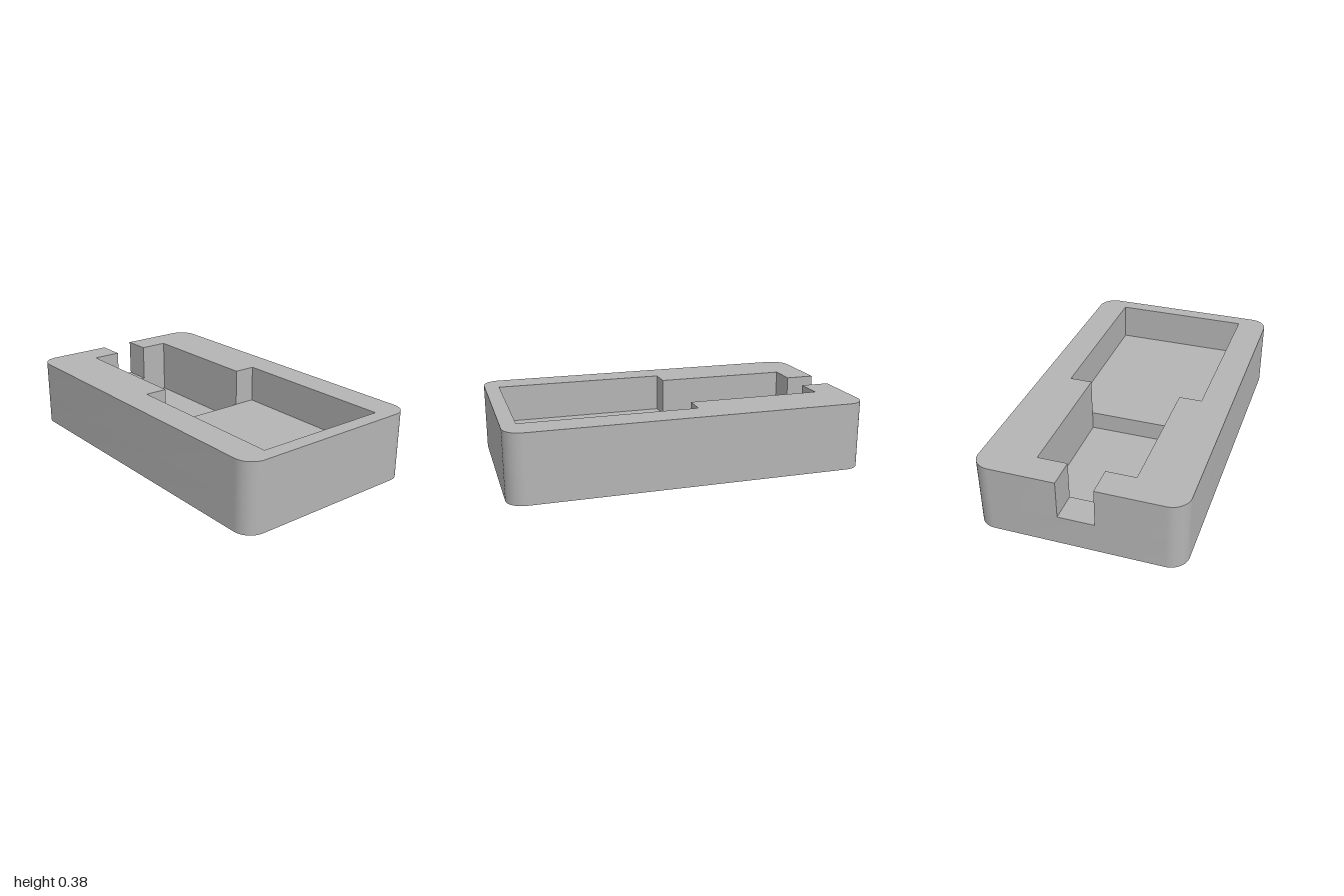
import * as THREE from 'three';
import { toCreasedNormals } from 'three/addons/utils/BufferGeometryUtils.js';

// Overall block
const HX = 1, HZ = 0.563, R = 0.1;
const TOP = 0.385, LEDGE = 0.17, DEEP = 0.065;
// Recesses: cable slot, deep bay, wide bay (x limits and half widths)
const SLOT = 0.1, MID = 0.265, WIDE = 0.393;
const X1 = -0.834, X2 = -0.067, X3 = 0.917;

// Plan outlines are [x, -z], counter-clockwise around solid material
function roundedOutline(steps = 16) {
  const corners = [[-1, -1, Math.PI], [1, -1, 1.5 * Math.PI], [1, 1, 0], [-1, 1, 0.5 * Math.PI]];
  return corners.flatMap(([sx, sy, start]) =>
    Array.from({ length: steps + 1 }, (_, i) => {
      const a = start + (i / steps) * Math.PI / 2;
      return [sx * (HX - R) + R * Math.cos(a), sy * (HZ - R) + R * Math.sin(a)];
    }));
}

const rect = (x0, x1, h) => [[x0, -h], [x1, -h], [x1, h], [x0, h]];

// Vertical wall that follows a closed outline
function wall(points, y0, y1) {
  const pos = [];
  points.forEach(([ax, ay], i) => {
    const [bx, by] = points[(i + 1) % points.length];
    pos.push(ax, y0, -ay, bx, y0, -by, bx, y1, -by);
    pos.push(ax, y0, -ay, bx, y1, -by, ax, y1, -ay);
  });
  const g = new THREE.BufferGeometry();
  g.setAttribute('position', new THREE.Float32BufferAttribute(pos, 3));
  return toCreasedNormals(g, Math.PI / 6);
}

// Horizontal face, turned up or down
function plate(points, y, up = true) {
  const shape = new THREE.Shape(points.map(([x, s]) => new THREE.Vector2(x, s)));
  return new THREE.ShapeGeometry(shape).rotateX(up ? -Math.PI / 2 : Math.PI / 2).translate(0, y, 0);
}

export function createModel() {
  const group = new THREE.Group();
  const grey = new THREE.MeshStandardMaterial({ color: 0xb4b4b4 });
  grey.name = 'plain grey';
  const add = (name, geometry) => {
    const mesh = new THREE.Mesh(geometry, grey);
    mesh.name = name;
    group.add(mesh);
  };

  const outer = roundedOutline();
  const deepBay = rect(X1, X2, MID);
  // Rim runs round the outside, then in through the slot and round both bays
  const rim = [
    [-HX, -SLOT], ...outer, [-HX, SLOT],
    [X1, SLOT], [X1, MID], [X2, MID], [X2, WIDE], [X3, WIDE],
    [X3, -WIDE], [X2, -WIDE], [X2, -MID], [X1, -MID], [X1, -SLOT],
  ];

  // Shell
  add('baseUnderside', plate(outer, 0, false));
  add('baseWall', wall(outer, 0, LEDGE));
  add('rimWall', wall(rim, LEDGE, TOP));
  add('rimTop', plate(rim, TOP));

  // Recess floors and the lower walls of the deep bay
  add('slotFloor', plate(rect(-HX, X1, SLOT), LEDGE));
  add('wideBayFloor', plate(rect(X2, X3, WIDE), LEDGE));
  add('deepBayWall', wall([...deepBay].reverse(), DEEP, LEDGE));
  add('deepBayFloor', plate(deepBay, DEEP));

  return group;
}
